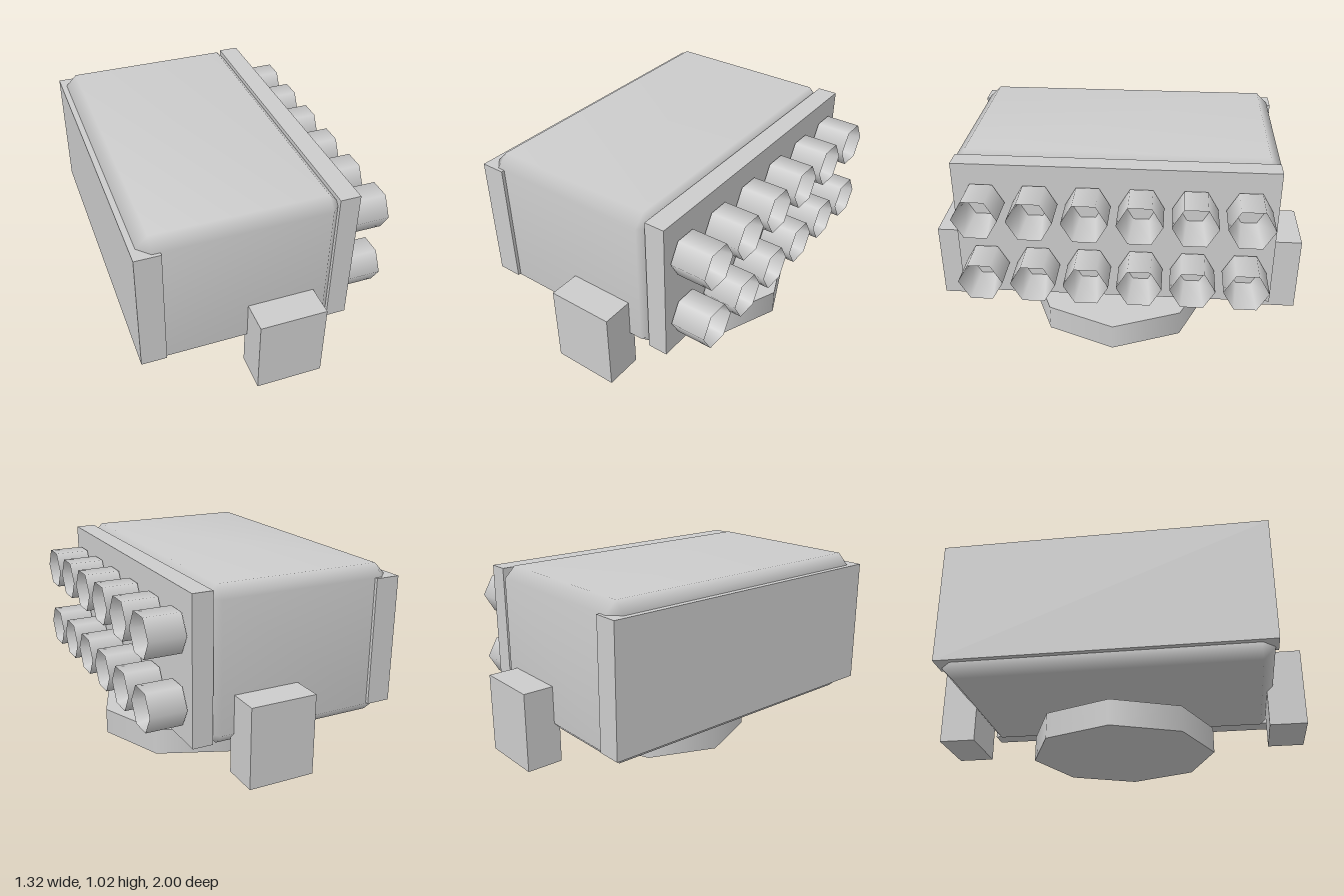
import * as THREE from 'three';
import { ConvexGeometry } from 'three/addons/geometries/ConvexGeometry.js';
import { mergeVertices } from 'three/addons/utils/BufferGeometryUtils.js';

const lightGrey = new THREE.MeshStandardMaterial({ color: 0xcccccc, side: THREE.DoubleSide });
lightGrey.name = 'light grey';

function add(parent, name, geometry, x, y, z) {
  const mesh = new THREE.Mesh(geometry, lightGrey);
  mesh.name = name;
  mesh.position.set(x, y, z);
  parent.add(mesh);
  return mesh;
}

// Box with single-step bevels and smooth shared normals
function bevelledBox(w, h, d, b) {
  const points = [];
  for (const sx of [-1, 1]) for (const sy of [-1, 1]) for (const sz of [-1, 1]) {
    const x = w / 2, y = h / 2, z = d / 2;
    points.push(
      new THREE.Vector3(sx * x, sy * (y - b), sz * (z - b)),
      new THREE.Vector3(sx * (x - b), sy * y, sz * (z - b)),
      new THREE.Vector3(sx * (x - b), sy * (y - b), sz * z));
  }
  const flat = new ConvexGeometry(points);
  flat.deleteAttribute('normal');
  const smooth = mergeVertices(flat);
  smooth.computeVertexNormals();
  return smooth;
}

export function createModel() {
  const model = new THREE.Group();
  model.name = 'launcher';

  // Base disc and main housing
  add(model, 'base', new THREE.CylinderGeometry(0.505, 0.505, 0.14, 8), 0.095, 0.07, 0);
  add(model, 'housing', bevelledBox(1.005, 0.795, 1.675, 0.06), -0.1275, 0.6275, 0);

  // End plates
  add(model, 'rearPlate', new THREE.BoxGeometry(0.13, 0.67, 1.71), -0.595, 0.63, 0);
  add(model, 'muzzlePlate', new THREE.BoxGeometry(0.107, 0.76, 1.645), 0.4075, 0.63, -0.003);

  // Side mounting blocks
  for (const s of [-1, 1]) {
    add(model, s > 0 ? 'frontMount' : 'backMount',
      new THREE.BoxGeometry(0.35, 0.42, 0.195), 0.073, 0.28, s * 0.9025);
  }

  // Two rows of hexagonal tubes, flared inside
  const length = 0.19;
  const outer = new THREE.CylinderGeometry(0.115, 0.115, length, 6, 1, true).rotateZ(-Math.PI / 2);
  const inner = new THREE.CylinderGeometry(0.115, 0.077, length, 6, 1, true).rotateZ(-Math.PI / 2);
  const floor = new THREE.CircleGeometry(0.115, 6).rotateY(Math.PI / 2);
  for (const y of [0.437, 0.802]) {
    for (let i = 0; i < 6; i++) {
      const tube = new THREE.Group();
      tube.name = 'tube';
      tube.position.set(0.565, y, -0.678 + i * 0.2695);
      add(tube, 'tubeWall', outer, 0, 0, 0);
      add(tube, 'tubeBore', inner, 0, 0, 0);
      add(tube, 'tubeFloor', floor, -length / 2, 0, 0);
      model.add(tube);
    }
  }
  return model;
}
